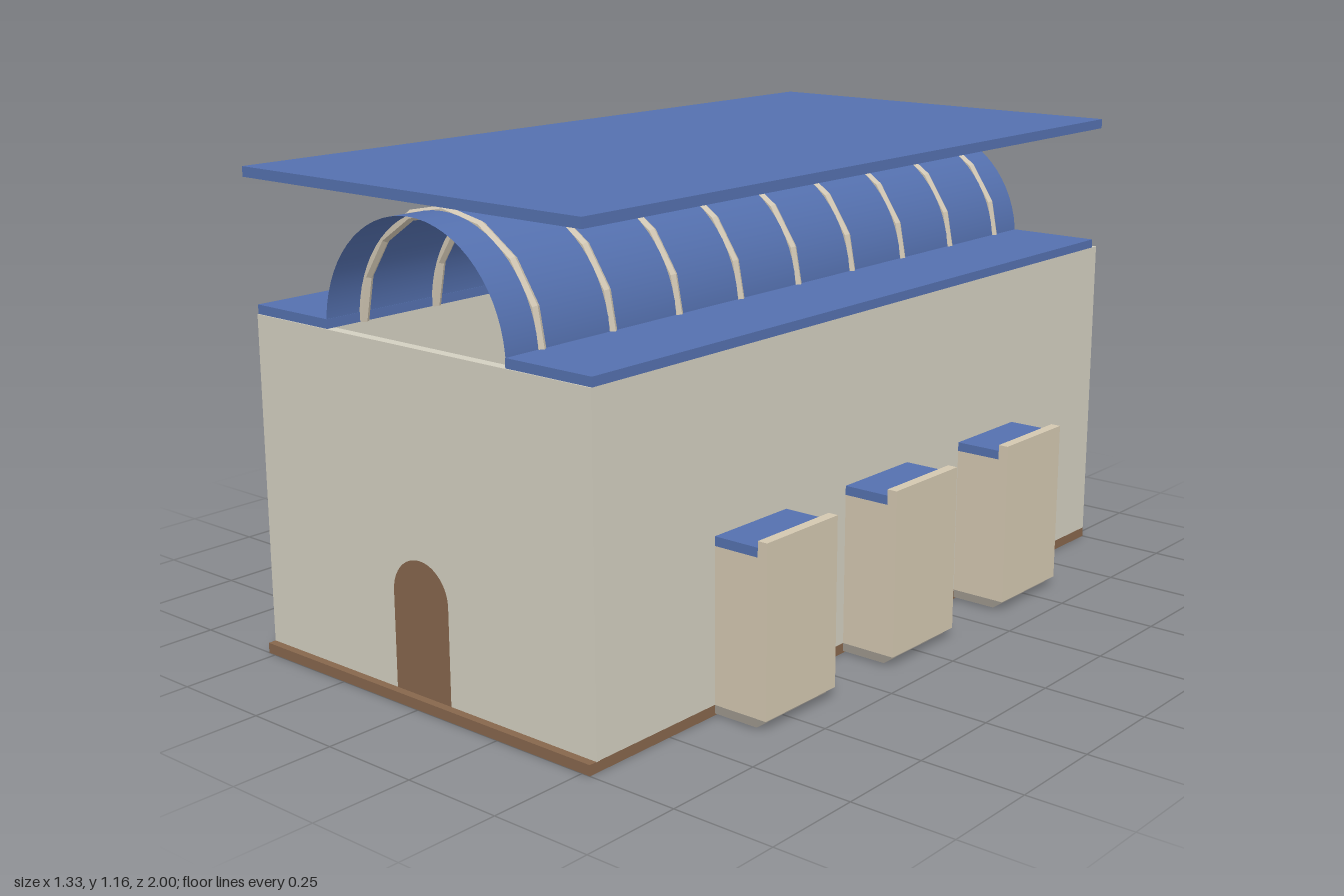
import * as THREE from 'three';

const mat = (color, extra = {}) => new THREE.MeshStandardMaterial({ color, ...extra });
const stone = mat(0xd3cfc0);
const chapelStone = mat(0xd3c7b0);
const ribStone = mat(0xcfc5b2, { flatShading: true });
const blue = mat(0x5470ae);
const vaultBlue = mat(0x5470ae, { side: THREE.DoubleSide });
const wood = mat(0x86664c);
const slabGrey = mat(0x9c968c);

const T = 0.025; // wall thickness

// Box given by its min and max corners
function box(parent, name, material, [x0, y0, z0], [x1, y1, z1]) {
  const mesh = new THREE.Mesh(new THREE.BoxGeometry(x1 - x0, y1 - y0, z1 - z0), material);
  mesh.position.set((x0 + x1) / 2, (y0 + y1) / 2, (z0 + z1) / 2);
  mesh.name = name;
  parent.add(mesh);
  return mesh;
}

// Round-headed doorway outline, standing on the floor
function archOutline(path, cx, r = 0.0875, spring = 0.255) {
  path.moveTo(cx - r, T);
  path.lineTo(cx + r, T);
  path.lineTo(cx + r, spring);
  path.absarc(cx, spring, r, 0, Math.PI, false);
  path.lineTo(cx - r, T);
  return path;
}

// Wall panel in the xy plane with arched openings
function archedWall(halfWidth, height, openings) {
  const bottom = T - 0.001;
  const shape = new THREE.Shape();
  shape.moveTo(-halfWidth, bottom);
  shape.lineTo(halfWidth, bottom);
  shape.lineTo(halfWidth, height);
  shape.lineTo(-halfWidth, height);
  shape.closePath();
  openings.forEach((c) => {
    const hole = new THREE.Path();
    archOutline(hole, c);
    // lift the sill slightly so that the hole stays inside the panel
    shape.holes.push(hole);
  });
  return new THREE.ExtrudeGeometry(shape, { depth: T, bevelEnabled: false, curveSegments: 16 });
}

// Side chapel, built on the +x side around z = 0
function makeChapel() {
  const g = new THREE.Group();
  g.name = 'sideChapel';
  box(g, 'chapelFloor', slabGrey, [0.52, 0.005, -0.125], [0.64, T, 0.125]);
  box(g, 'chapelOuterWall', chapelStone, [0.64, T, -0.125], [0.665, 0.43, 0.125]);
  for (const s of [-1, 1]) {
    const z0 = s > 0 ? 0.1 : -0.125;
    box(g, 'chapelSideWall', chapelStone, [0.52, T, z0], [0.64, 0.393, z0 + T]);
  }
  box(g, 'chapelRoof', blue, [0.52, 0.393, -0.125], [0.64, 0.415, 0.125]);
  return g;
}

export function createModel() {
  const model = new THREE.Group();
  model.name = 'barrelVaultedHall';
  const chapelZ = [-0.475, 0, 0.475];

  // Floor
  box(model, 'floor', wood, [-0.522, 0, -1], [0.522, T, 1]);

  // Front wall with its door, and plain back wall
  const front = new THREE.Mesh(archedWall(0.522, 0.82, [0]), stone);
  front.position.z = 0.98 - T;
  front.name = 'frontWall';
  model.add(front);

  const doorShape = archOutline(new THREE.Shape(), 0);
  const door = new THREE.Mesh(
    new THREE.ExtrudeGeometry(doorShape, { depth: T, bevelEnabled: false, curveSegments: 16 }), wood);
  door.position.z = 0.98 - T;
  door.name = 'frontDoor';
  model.add(door);

  box(model, 'backWall', stone, [-0.522, T, -1], [0.522, 0.82, -0.975]);

  for (const s of [-1, 1]) {
    // Long wall with openings into the chapels
    const wall = new THREE.Mesh(archedWall(0.965, 0.82, chapelZ), stone);
    wall.rotation.y = Math.PI / 2;
    wall.position.set(s > 0 ? 0.522 - T : -0.522, 0, -0.01);
    wall.name = s > 0 ? 'leftWall' : 'rightWall';
    model.add(wall);

    // Flat roof strip beside the vault
    box(model, 'sideRoof', blue,
      [s > 0 ? 0.28 : -0.522, 0.82, -0.977], [s > 0 ? 0.522 : -0.28, 0.842, 0.977]);

    // Chapels, turned half round for the opposite side
    for (const z of chapelZ) {
      const chapel = makeChapel();
      chapel.position.z = z;
      if (s < 0) chapel.rotation.y = Math.PI;
      model.add(chapel);
    }
  }

  // Barrel vault: open half cylinder along z
  const vaultGeo = new THREE.CylinderGeometry(0.282, 0.282, 1.954, 32, 1, true, -Math.PI / 2, Math.PI);
  vaultGeo.rotateX(-Math.PI / 2);
  const vault = new THREE.Mesh(vaultGeo, vaultBlue);
  vault.position.y = 0.82;
  vault.name = 'barrelVault';
  model.add(vault);

  // Vault ribs
  const ribGeo = new THREE.TorusGeometry(0.281, 0.0125, 6, 8, Math.PI);
  for (let i = -4; i <= 4; i++) {
    const rib = new THREE.Mesh(ribGeo, ribStone);
    rib.position.set(0, 0.82, i * 0.2178);
    rib.name = 'vaultRib';
    model.add(rib);
  }

  // Floating flat top roof
  box(model, 'topRoof', blue, [-0.522, 1.138, -1], [0.522, 1.162, 1]);

  return model;
}
